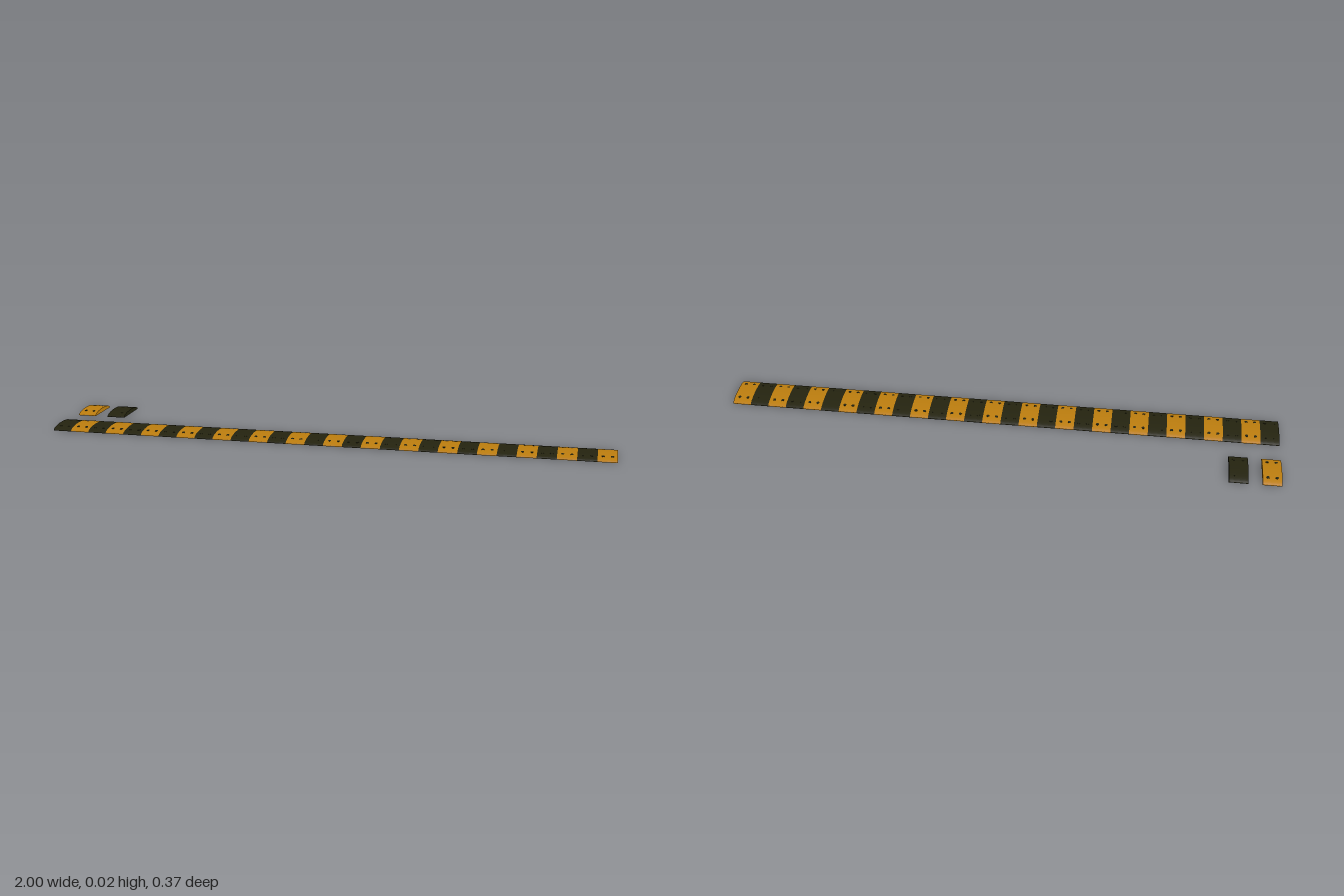
import * as THREE from 'three';

const COUNT = 30, WIDTH = 2 / COUNT, HALF = 0.0715, RISE = 0.0155, STEPS = 28;

export function createModel() {
  const yellow = new THREE.MeshStandardMaterial({ name: 'yellowRubber', color: 0xbc7d0e });
  const black = new THREE.MeshStandardMaterial({ name: 'blackRubber', color: 0x24230f });

  // domed cross-section with a short blunt edge, extruded along x
  const profile = new THREE.Shape();
  profile.moveTo(-HALF, 0);
  profile.lineTo(HALF, 0);
  for (let i = 0; i <= STEPS; i++) {
    const a = (i / STEPS) * Math.PI;
    profile.lineTo(Math.cos(a) * HALF, 0.001 + Math.sin(a) * (RISE - 0.001));
  }
  const tileGeo = new THREE.ExtrudeGeometry(profile, { depth: WIDTH, bevelEnabled: false });
  tileGeo.translate(0, 0, -WIDTH / 2);
  tileGeo.rotateY(Math.PI / 2);

  // mounting holes, drawn as thin dark discs on the dome and the underside
  const discGeo = new THREE.CylinderGeometry(0.0055, 0.0055, 0.0012, 16);
  const u = 0.0425 / HALF;
  const holeY = 0.001 + (RISE - 0.001) * Math.sqrt(1 - u * u);
  const tilt = Math.atan((RISE / HALF) * u / Math.sqrt(1 - u * u));

  function tile(name, material, x, z) {
    const group = new THREE.Group();
    group.name = name;
    group.position.set(x, 0, z);
    const body = new THREE.Mesh(tileGeo, material);
    body.name = 'domedBody';
    group.add(body);
    for (const sx of [-1, 1]) for (const sz of [-1, 1]) {
      const top = new THREE.Mesh(discGeo, black);
      top.name = 'mountingHole';
      top.position.set(sx * 0.0155, holeY, sz * 0.0425);
      top.rotation.x = sz * tilt;
      const under = new THREE.Mesh(discGeo, black);
      under.name = 'mountingHoleUnderside';
      under.position.set(sx * 0.0155, 0.0004, sz * 0.0425);
      group.add(top, under);
    }
    return group;
  }

  const model = new THREE.Group();
  model.name = 'speedBump';

  // long strip of alternating tiles
  const strip = new THREE.Group();
  strip.name = 'strip';
  for (let i = 0; i < COUNT; i++) {
    const dark = i % 2 === 0;
    strip.add(tile(dark ? 'blackTile' : 'yellowTile', dark ? black : yellow,
      -1 + (i + 0.5) * WIDTH, 0.115));
  }
  model.add(strip);

  // two loose tiles behind the strip
  model.add(tile('looseYellowTile', yellow, -1 + WIDTH / 2, -0.115));
  model.add(tile('looseBlackTile', black, -0.852, -0.115));
  return model;
}
